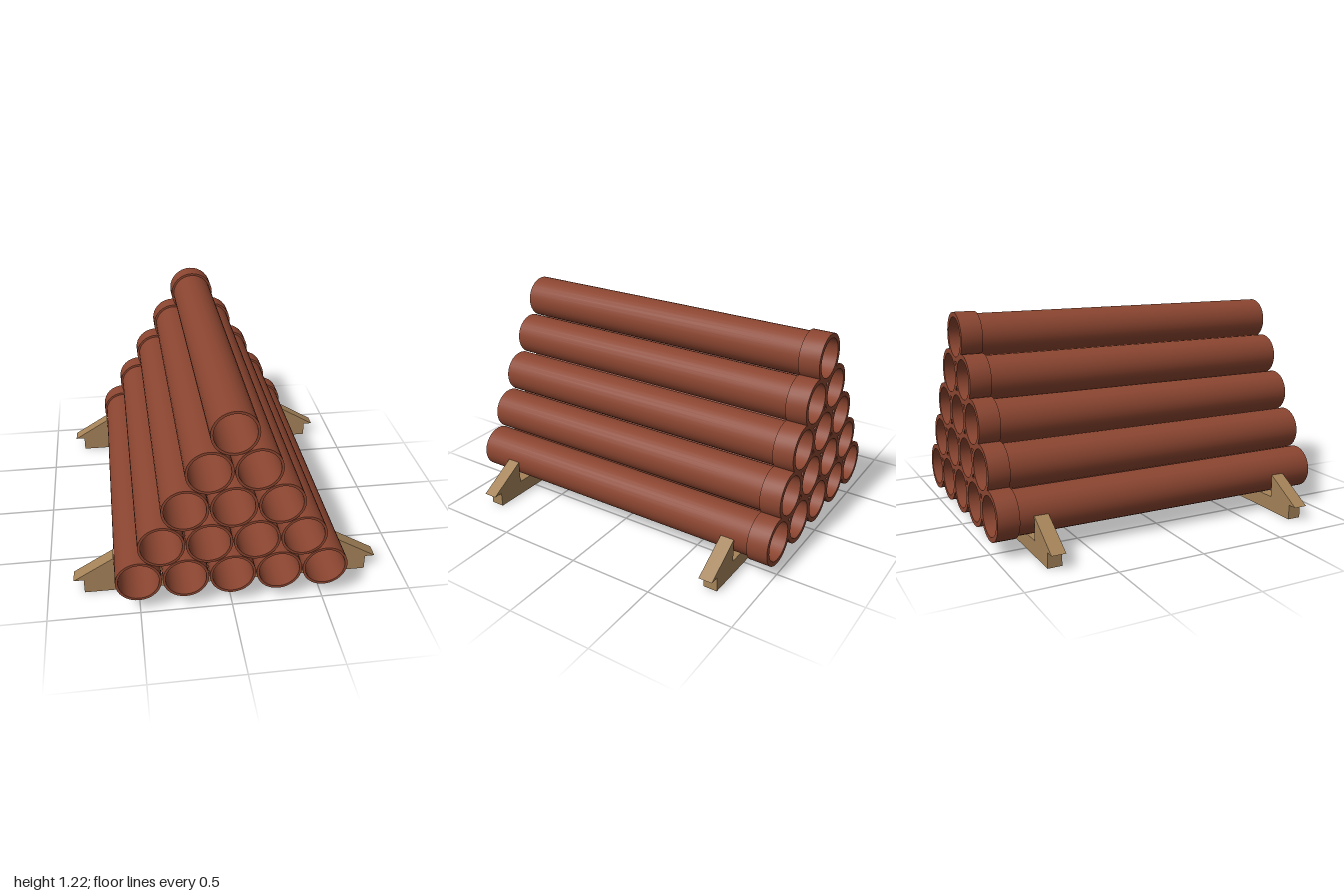
import * as THREE from 'three';
import { toCreasedNormals } from 'three/addons/utils/BufferGeometryUtils.js';

const clay = new THREE.MeshStandardMaterial({ color: 0x8b4530 });
clay.name = 'clay';
const wood = new THREE.MeshStandardMaterial({ color: 0xa58359 });
wood.name = 'wood';

const ROWS = 5, SPACING = 0.252, ROW_HEIGHT = 0.218, BASE_Y = 0.213;

// Hollow pipe along z with a wider collar at its back end
function pipeGeometry() {
  const bore = 0.11, body = 0.124, collar = 0.137;
  const profile = [
    [bore, -1], [collar, -1], [collar, -0.88], [body, -0.88],
    [body, 1], [bore, 1], [bore, -1],
  ].map(([r, z]) => new THREE.Vector2(r, z));
  const geometry = new THREE.LatheGeometry(profile, 32);
  geometry.rotateX(Math.PI / 2);
  return toCreasedNormals(geometry, Math.PI / 5);
}

// Triangular chock that keeps the bottom row from rolling
function chockGeometry(side) {
  const shape = new THREE.Shape([
    new THREE.Vector2(side * 0.63, 0.087),
    new THREE.Vector2(side * 0.855, 0.087),
    new THREE.Vector2(side * 0.63, 0.223),
  ]);
  const geometry = new THREE.ExtrudeGeometry(shape, { depth: 0.08, bevelEnabled: false });
  return geometry.translate(0, 0, -0.04);
}

export function createModel() {
  const model = new THREE.Group();
  model.name = 'pipeStack';

  // Pyramid of pipes, one fewer in each row
  const pipe = pipeGeometry();
  for (let row = 0; row < ROWS; row++) {
    const count = ROWS - row;
    for (let i = 0; i < count; i++) {
      const mesh = new THREE.Mesh(pipe, clay);
      mesh.name = `pipeRow${row + 1}Number${i + 1}`;
      mesh.position.set((i - (count - 1) / 2) * SPACING, BASE_Y + row * ROW_HEIGHT, 0);
      model.add(mesh);
    }
  }

  // Two wooden cradles under the stack
  for (const [name, z] of [['frontCradle', 0.76], ['backCradle', -0.76]]) {
    const cradle = new THREE.Group();
    cradle.name = name;
    cradle.position.z = z;
    const beam = new THREE.Mesh(new THREE.BoxGeometry(1.6, 0.087, 0.08), wood);
    beam.name = 'beam';
    beam.position.y = 0.0435;
    cradle.add(beam);
    for (const side of [1, -1]) {
      const chock = new THREE.Mesh(chockGeometry(side), wood);
      chock.name = side > 0 ? 'leftChock' : 'rightChock';
      cradle.add(chock);
    }
    model.add(cradle);
  }
  return model;
}
